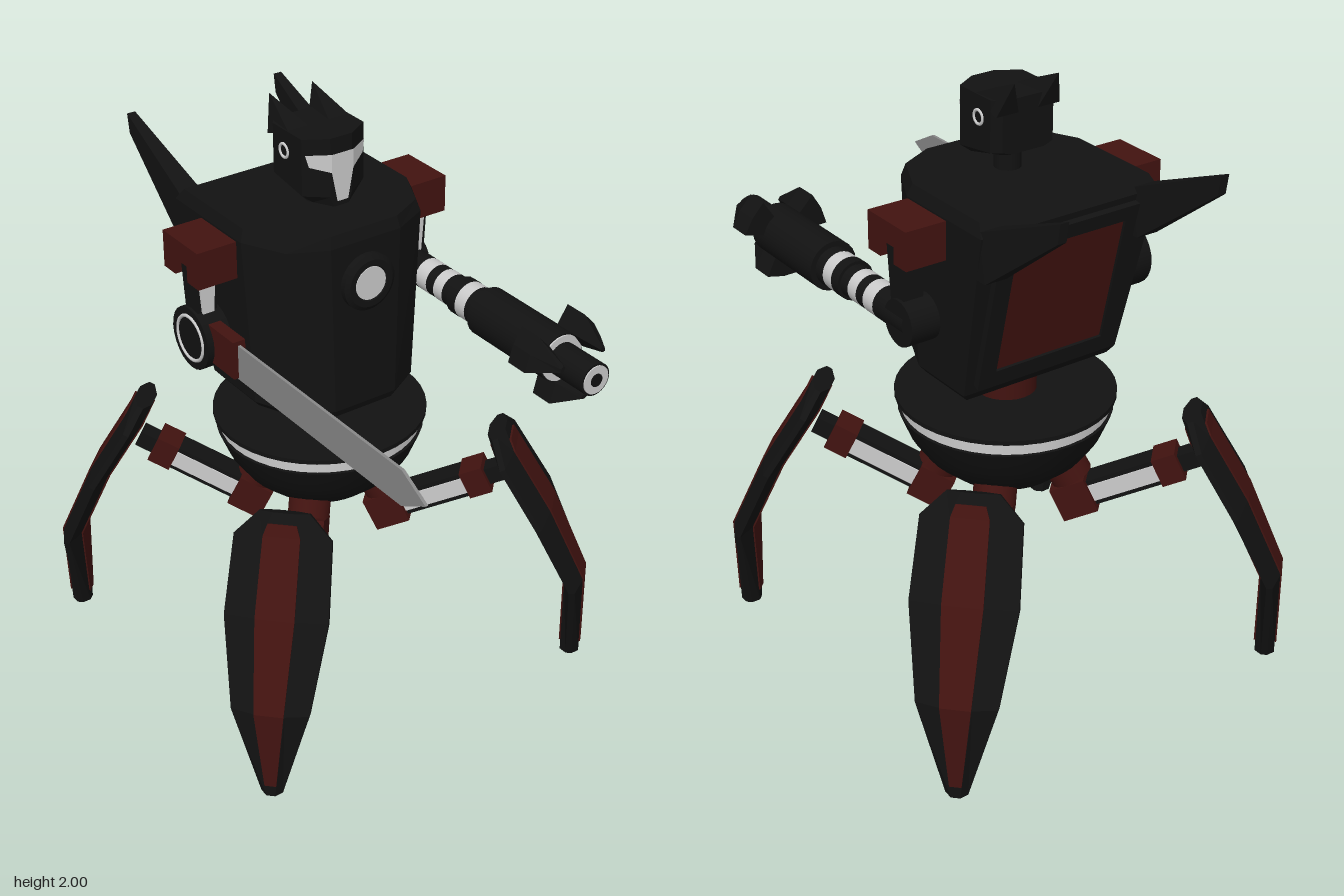
import * as THREE from 'three';
import { toCreasedNormals } from 'three/addons/utils/BufferGeometryUtils.js';

const mat = (color, side = THREE.FrontSide) => new THREE.MeshStandardMaterial({ color, side, flatShading: false });
const black = mat(0x121212), red = mat(0x421310), white = mat(0xcccccc);
const steel = mat(0x888888), visorMat = mat(0xcccccc, THREE.DoubleSide);
const CZ = -0.2; // z of the body's vertical axis

function add(parent, name, geo, material, pos = [0, 0, 0], rot = [0, 0, 0]) {
  const mesh = new THREE.Mesh(geo, material);
  mesh.name = name;
  mesh.position.set(...pos);
  mesh.rotation.set(...rot);
  parent.add(mesh);
  return mesh;
}

const box = (w, h, d) => new THREE.BoxGeometry(w, h, d);
const cyl = (r0, r1, h, n = 24) => new THREE.CylinderGeometry(r0, r1, h, n);
const shape = pts => new THREE.Shape(pts.map(p => new THREE.Vector2(...p)));
const lathe = (pts, n = 32) =>
  toCreasedNormals(new THREE.LatheGeometry(pts.map(p => new THREE.Vector2(...p)), n), 0.5);

// Faceted solid through rings of [x, y, z], capped at both ends
function loft(rings) {
  const tris = [], n = rings[0].length;
  const mid = r => [0, 1, 2].map(k => r.reduce((s, p) => s + p[k], 0) / n);
  for (let j = 0; j < n; j++) {
    const k = (j + 1) % n, last = rings[rings.length - 1];
    for (let i = 0; i < rings.length - 1; i++) {
      const [a, b, c, d] = [rings[i][j], rings[i][k], rings[i + 1][k], rings[i + 1][j]];
      tris.push([a, b, c], [a, c, d]);
    }
    tris.push([rings[0][k], rings[0][j], mid(rings[0])], [last[j], last[k], mid(last)]);
  }
  // turn the faces outward if the rings ran the other way
  const o = new THREE.Vector3(...mid(rings[0]));
  let volume = 0;
  for (const t of tris) {
    const [a, b, c] = t.map(p => new THREE.Vector3(...p).sub(o));
    volume += a.dot(b.cross(c));
  }
  if (volume < 0) tris.forEach(t => t.reverse());
  const geo = new THREE.BufferGeometry();
  geo.setAttribute('position', new THREE.Float32BufferAttribute(tris.flat(2), 3));
  geo.computeVertexNormals();
  return geo;
}

// Side profile of [z, y] points, extruded along x
function sidePlate(pts, width) {
  return new THREE.ExtrudeGeometry(shape(pts), { depth: width, bevelEnabled: false })
    .translate(0, 0, -width / 2).rotateY(-Math.PI / 2);
}

// Mirrors a half outline of [x, z] into a ring at height y(z)
const ring = (half, y) => [...half, ...half.slice().reverse().map(([x, z]) => [-x, z])].map(([x, z]) => [x, y(z), z]);

// Shell of a leg: stations of [radius, y, halfWidth], section of [widthFactor, depth]
function shell(stations, section) {
  return loft(stations.map(([r, y, w], i) => {
    const p = stations[Math.max(i - 1, 0)], q = stations[Math.min(i + 1, stations.length - 1)];
    const dx = q[0] - p[0], dy = q[1] - p[1], l = Math.hypot(dx, dy);
    return section.map(([f, d]) => [r - dy / l * d, y + dx / l * d, f * w]);
  }));
}

function makeLeg() {
  const leg = new THREE.Group();
  leg.name = 'leg';
  add(leg, 'hipJoint', cyl(0.07, 0.07, 0.08, 20), red, [0.2, 0.65, 0], [0, 0, 0.5]);
  const link = new THREE.Group();
  link.name = 'legLink';
  link.position.set(0.235, 0.55, 0);
  link.rotation.z = 0.44;
  add(link, 'knuckle', box(0.12, 0.12, 0.12), red);
  add(link, 'linkBeam', box(0.28, 0.09, 0.08), black, [0.17, 0, 0]);
  for (const s of [-1, 1]) add(link, 'linkPanel', box(0.25, 0.058, 0.01), white, [0.17, 0, s * 0.04]);
  add(link, 'ankleBlock', box(0.08, 0.1, 0.1), red, [0.33, 0, 0]);
  add(link, 'anklePin', box(0.08, 0.06, 0.06), black, [0.39, 0, 0]);
  leg.add(link);
  const path = [[0.595, 0.89, 0.08], [0.63, 0.82, 0.155], [0.76, 0.6, 0.165], [0.88, 0.33, 0.125], [0.88, 0.005, 0.035]];
  add(leg, 'legShell', shell(path, [[1, 0.01], [0.4, 0.032], [-0.4, 0.032], [-1, 0.01],
    [-1, -0.01], [-0.4, -0.032], [0.4, -0.032], [1, -0.01]]), black);
  const inset = [[0.612, 0.86, 0.12], ...path.slice(1, 4), [0.88, 0.05, 0.05]];
  add(leg, 'legStripe', shell(inset, [[0.38, 0.037], [-0.38, 0.037], [-0.38, -0.037], [0.38, -0.037]]), red);
  return leg;
}

function makeHead() {
  const head = new THREE.Group();
  head.name = 'head';
  const outline = w => [[w * 0.35, -0.07], [w, -0.115], [w, -0.27], [w * 0.8, -0.3]];
  add(head, 'skull', loft([
    ring(outline(0.075), z => 1.705 - (z + 0.07) * 0.25),
    ring(outline(0.115), z => 1.74 - (z + 0.07) * 0.15),
    ring(outline(0.115), () => 1.935)]), black);
  add(head, 'neck', cyl(0.042, 0.042, 0.1), black, [0, 1.71, CZ]);
  // T-shaped visor wrapped round the angled face
  const parts = [[[-0.04, 1.885], [-0.04, 1.825], [-0.02, 1.725], [0.02, 1.725], [0.04, 1.825], [0.04, 1.885]]];
  for (const s of [-1, 1]) {
    parts.push([[0.04, 1.885], [0.04, 1.825], [0.1, 1.845], [0.11, 1.885]].map(([x, y]) => [s * x, y]));
    add(head, 'ear', loft([
      [[0.035, 1.93, -0.18], [0.115, 1.93, -0.18], [0.115, 1.89, -0.3], [0.035, 1.89, -0.3]],
      Array(4).fill([0.08, 2, -0.34])].map(r => r.map(([x, y, z]) => [s * x, y, z]))), black);
    add(head, 'earRing', new THREE.TorusGeometry(0.022, 0.005, 8, 24), white, [s * 0.115, 1.865, -0.21], [0, Math.PI / 2, 0]);
  }
  for (const pts of parts) {
    const geo = new THREE.ShapeGeometry(shape(pts)), p = geo.attributes.position;
    for (let i = 0; i < p.count; i++) p.setZ(i, -0.062 - Math.max(0, Math.abs(p.getX(i)) - 0.04) * 0.6);
    geo.computeVertexNormals();
    add(head, 'visor', geo, visorMat);
  }
  return head;
}

function makeTorso() {
  const torso = new THREE.Group();
  torso.name = 'torso';
  const outline = (w, zf, zb) => [[w * 0.4, zf], [w * 0.78, zf - 0.06], [w, zf - 0.2], [w, zb]];
  add(torso, 'torsoShell', loft([[1.035, 0.27, 0.05, -0.37], [1.06, 0.29, 0.06, -0.385], [1.64, 0.325, 0.06, -0.52], [1.68, 0.31, 0.05, -0.49]]
    .map(([y, w, zf, zb]) => ring(outline(w, zf, zb), () => y))), black);
  add(torso, 'chestRing', lathe([[0, 0], [0.095, 0], [0.095, 0.025], [0.08, 0.035], [0.06, 0.035], [0.055, 0.028], [0, 0.028]]),
    black, [0, 1.5, 0.055], [Math.PI / 2, 0, 0]);
  add(torso, 'chestLamp', cyl(0.056, 0.056, 0.03), white, [0, 1.5, 0.073], [Math.PI / 2, 0, 0]);
  // framed panel on the sloping back
  const frame = shape([[-0.26, -0.27], [0.26, -0.27], [0.26, 0.27], [-0.26, 0.27]]);
  frame.holes.push(new THREE.Path([[-0.2, -0.22], [-0.2, 0.22], [0.2, 0.22], [0.2, -0.22]].map(p => new THREE.Vector2(...p))));
  add(torso, 'backFrame', new THREE.ExtrudeGeometry(frame, { depth: 0.03, bevelEnabled: false }).translate(0, 0, -0.02),
    black, [0, 1.355, -0.455], [-0.225, 0, 0]);
  add(torso, 'backPanel', box(0.42, 0.46, 0.02), red, [0, 1.355, -0.456], [-0.225, 0, 0]);
  for (const s of [-1, 1]) {
    const quad = (x, w, top, low) => [[x - w, ...top], [x + w, ...top], [x + w, ...low], [x - w, ...low]].map(([a, y, z]) => [s * a, y, z]);
    add(torso, 'backSpike', loft([quad(0.28, 0.038, [1.655, -0.48], [1.5, -0.46]),
      quad(0.28, 0.038, [1.655, -0.5], [1.5, -0.53]), quad(0.285, 0.015, [1.805, -0.85], [1.74, -0.84])]), black);
  }
  return torso;
}

function makeUpperArm(s) {
  const arm = new THREE.Group();
  arm.name = 'upperArm';
  add(arm, 'shoulder', sidePlate([[-0.355, 1.515], [-0.29, 1.515], [-0.29, 1.57], [-0.22, 1.57], [-0.22, 1.515],
    [-0.155, 1.515], [-0.155, 1.64], [-0.355, 1.64]], 0.14), red, [s * 0.402, 0, 0]);
  const level = (y, w, d) => [[-w, y, -d], [w, y, -d], [w, y, d], [-w, y, d]];
  add(arm, 'armStrut', loft([level(1.34, 0.032, 0.035), level(1.6, 0.048, 0.035)]), black, [s * 0.405, 0, -0.255]);
  add(arm, 'armStripe', loft([level(1.36, 0.018, 0.004), level(1.515, 0.03, 0.004)]), white, [s * 0.405, 0, -0.217]);
  return arm;
}

function makeCannon() {
  const cannon = new THREE.Group();
  cannon.name = 'cannonArm';
  cannon.position.set(0.4, 1.31, 0);
  add(cannon, 'elbow', cyl(0.075, 0.075, 0.1), black, [0, 0, -0.275], [0, 0, Math.PI / 2]);
  // barrel sections: start z, end z, radius, material
  const sections = [[-0.3, -0.14, 0.055, black], [-0.14, -0.085, 0.055, white], [-0.085, -0.045, 0.054, black],
    [-0.045, 0, 0.055, white], [0, 0.04, 0.055, black], [0.04, 0.08, 0.065, black], [0.08, 0.13, 0.064, white],
    [0.13, 0.17, 0.065, black], [0.17, 0.53, 0.083, black], [0.53, 0.535, 0.078, white], [0.53, 0.69, 0.055, black],
    [0.688, 0.694, 0.048, white], [0.69, 0.697, 0.022, black]];
  for (const [a, b, r, m] of sections) add(cannon, 'barrelSection', cyl(r, r, b - a), m, [0, 0, (a + b) / 2], [Math.PI / 2, 0, 0]);
  // three claws flared round the muzzle
  for (let i = 0; i < 3; i++) {
    const arc = (z, r0, r1, w) => [[r0, -w * 0.55], [r1, -w], [r1 * 1.05, 0], [r1, w], [r0, w * 0.55]].map(([x, y]) => [x, y, z]);
    add(cannon, 'claw', loft([arc(0.46, 0.07, 0.14, 0.06), arc(0.54, 0.075, 0.14, 0.06), arc(0.635, 0.085, 0.095, 0.012)]),
      black, [0, 0, 0], [0, 0, THREE.MathUtils.degToRad(36 + i * 120)]);
  }
  return cannon;
}

function makeSwordArm() {
  const arm = new THREE.Group();
  arm.name = 'swordArm';
  arm.position.x = -0.405;
  add(arm, 'swordHub', cyl(0.105, 0.105, 0.09), black, [0, 1.295, -0.255], [0, 0, Math.PI / 2]);
  add(arm, 'hubRing', new THREE.TorusGeometry(0.075, 0.006, 8, 28), white, [-0.045, 1.295, -0.255], [0, Math.PI / 2, 0]);
  add(arm, 'swordHilt', box(0.044, 0.13, 0.16), red, [0, 1.305, -0.12]);
  add(arm, 'swordBlade', sidePlate([[-0.08, 1.235], [0.8, 1.235], [0.91, 1.295], [0.8, 1.355], [-0.08, 1.355]], 0.01), steel);
  return arm;
}

export function createModel() {
  const model = new THREE.Group();
  model.name = 'walkerRobot';
  // bowl-shaped base with a pale band, and the waist
  add(model, 'baseBowl', lathe([[0, 0.605], [0.1, 0.615], [0.19, 0.65], [0.26, 0.71], [0.31, 0.78], [0.345, 0.865],
    [0.325, 0.866], [0.325, 0.907], [0.355, 0.91], [0.355, 0.925], [0, 0.925]], 40), black, [0, 0, CZ]);
  add(model, 'baseBand', cyl(0.335, 0.335, 0.042, 40), white, [0, 0.887, CZ]);
  add(model, 'waist', cyl(0.1, 0.1, 0.14, 24), red, [0, 0.98, CZ]);
  for (let i = 0; i < 4; i++) {
    const leg = makeLeg();
    leg.position.z = CZ;
    leg.rotation.y = Math.PI / 4 + i * Math.PI / 2;
    model.add(leg);
  }
  model.add(makeTorso(), makeHead(), makeUpperArm(-1), makeUpperArm(1), makeCannon(), makeSwordArm());
  return model;
}
